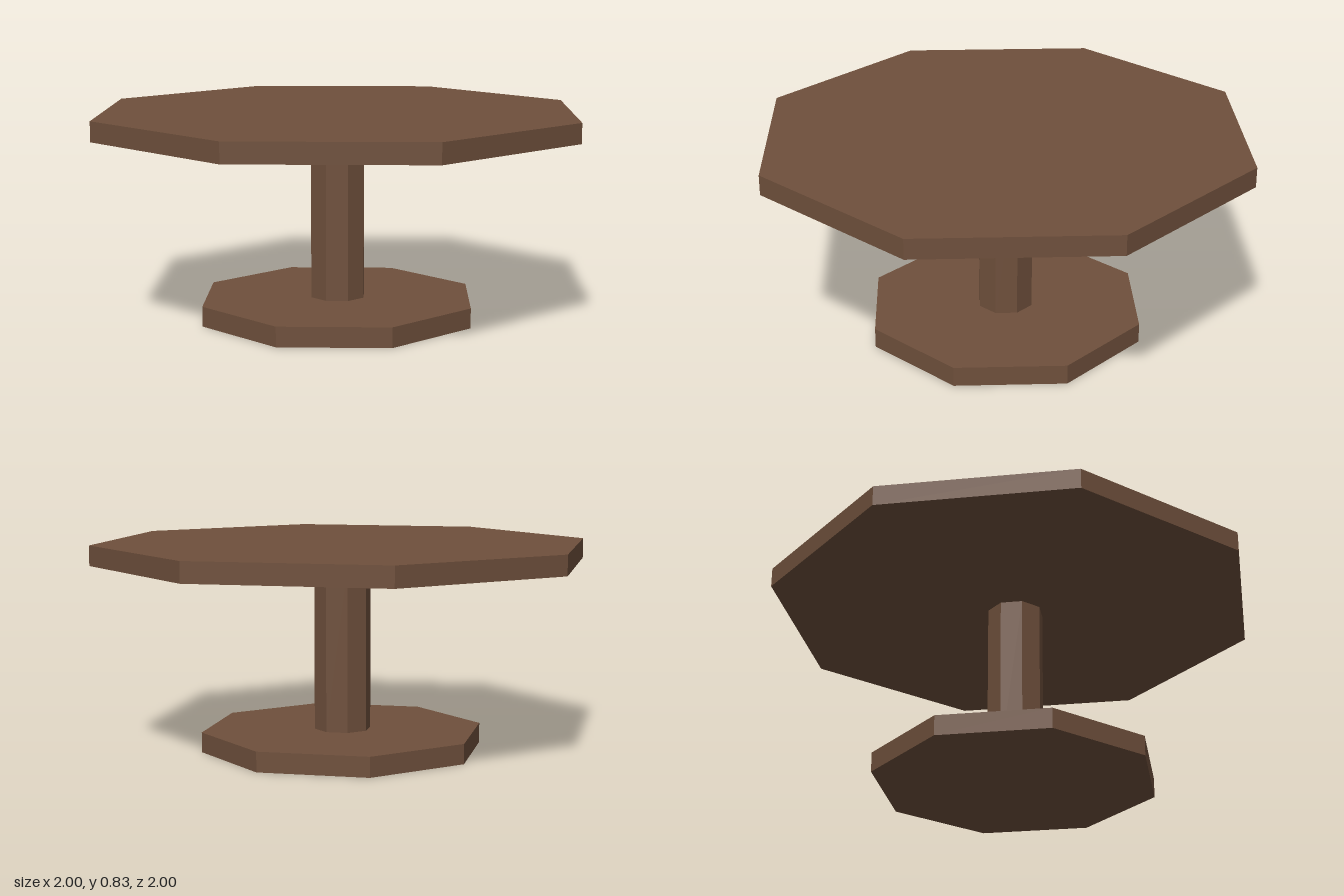
import * as THREE from 'three';

export function createModel() {
  const model = new THREE.Group();
  model.name = 'pedestalTable';

  const wood = new THREE.MeshStandardMaterial({ color: 0x6f503c });
  wood.name = 'brown wood';
  wood.flatShading = true;

  // Octagonal prism standing between two heights, corners on the axes
  function octagon(name, radius, bottom, top) {
    const geometry = new THREE.CylinderGeometry(radius, radius, top - bottom, 8);
    const mesh = new THREE.Mesh(geometry, wood);
    mesh.name = name;
    mesh.position.y = (bottom + top) / 2;
    model.add(mesh);
  }

  octagon('base', 0.571, 0, 0.08);
  octagon('column', 0.114, 0.08, 0.754);
  octagon('tableTop', 1, 0.754, 0.834);

  return model;
}
